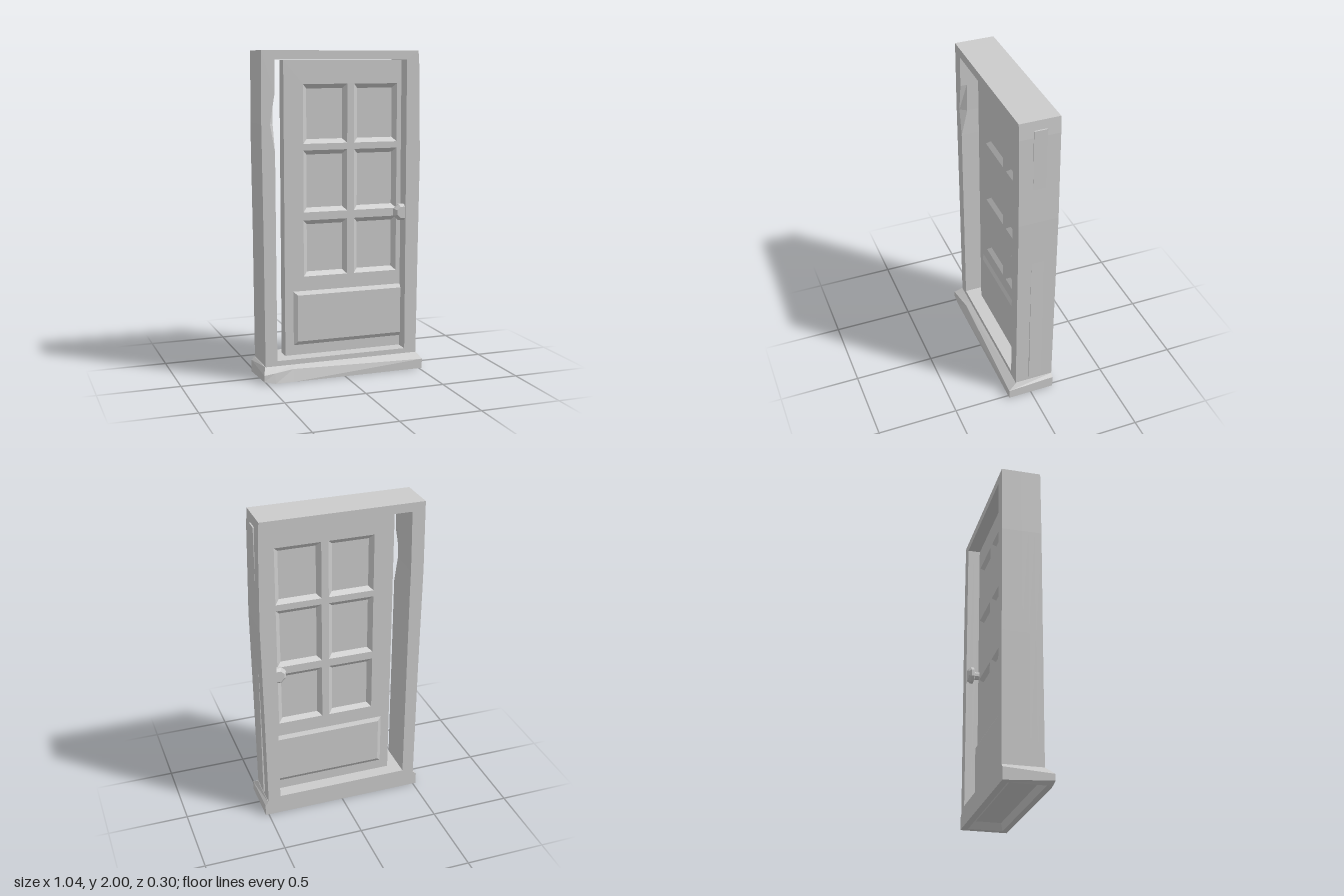
import * as THREE from 'three';

const material = new THREE.MeshStandardMaterial({ color: 0xcccccc, flatShading: true });

function add(parent, name, geometry) {
  const mesh = new THREE.Mesh(geometry, material);
  mesh.name = name;
  parent.add(mesh);
  return mesh;
}

// Joins matching loops of points with flat faces; the last loop is always capped.
function loft(rings, capStart = false) {
  const pos = [];
  const tri = (a, b, c) => pos.push(...a, ...b, ...c);
  const n = rings[0].length;
  for (let r = 0; r < rings.length - 1; r++) {
    const a = rings[r], b = rings[r + 1];
    for (let i = 0; i < n; i++) {
      const j = (i + 1) % n;
      tri(a[i], a[j], b[j]);
      tri(a[i], b[j], b[i]);
    }
  }
  const end = rings[rings.length - 1], start = rings[0];
  for (let i = 1; i < n - 1; i++) {
    tri(end[0], end[i], end[i + 1]);
    if (capStart) tri(start[0], start[i + 1], start[i]);
  }
  const g = new THREE.BufferGeometry();
  g.setAttribute('position', new THREE.Float32BufferAttribute(pos, 3));
  g.computeVertexNormals();
  return g;
}

const path = (points, Type = THREE.Path) => new Type(points.map(p => new THREE.Vector2(...p)));

// Bevelled panel, sunk (negative rise) or raised, facing +z.
function panelGeometry(w, h, bevel, rise) {
  const ring = (x, y, z) => [[-x, -y, z], [x, -y, z], [x, y, z], [-x, y, z]];
  return loft([ring(w / 2, h / 2, 0), ring(w / 2 - bevel, h / 2 - bevel, rise)]);
}

function buildFrame() {
  // Slightly uneven outline
  const outline = path([[-0.497, 0.09], [0.498, 0.09], [0.505, 0.75], [0.513, 1.34],
    [0.503, 1.9], [0.496, 2], [-0.503, 2], [-0.508, 1.57], [-0.501, 0.9]], THREE.Shape);
  outline.holes.push(path([[-0.422, 0.125], [-0.425, 1.4], [-0.427, 1.57], [-0.425, 1.75],
    [-0.422, 1.945], [0.42, 1.945], [0.42, 0.125]]));
  const g = new THREE.ExtrudeGeometry(outline, { depth: 0.245, steps: 6, bevelEnabled: false });
  g.translate(0, 0, -0.15);
  // Chip in the inner front edge of one jamb
  const p = g.attributes.position;
  for (let i = 0; i < p.count; i++) {
    if (p.getZ(i) > 0.09 && Math.abs(p.getX(i) + 0.427) < 0.001 && Math.abs(p.getY(i) - 1.57) < 0.001) {
      p.setX(i, -0.455);
    }
  }
  g.computeVertexNormals();
  return g;
}

function buildSill() {
  const ring = (x, back, front, y) =>
    [[-x, y, back], [-x, y, front], [-x * 0.86, y, front], [-x * 0.64, y, front], [x, y, front], [x, y, back]];
  const bottom = ring(0.52, -0.15, 0.147, 0);
  bottom[1] = [-0.52, 0.018, 0.147]; // chipped lower corner
  const shoulder = [[-0.52, 0.075, -0.15], [-0.52, 0.057, 0.147], [-0.45, 0.063, 0.14],
    [-0.33, 0.075, 0.127], [0.52, 0.06, 0.147], [0.52, 0.075, -0.15]];
  return loft([
    ring(0.44, -0.07, 0.09, 0.04), // hollow underside
    ring(0.48, -0.11, 0.11, 0),
    bottom,
    shoulder,
    ring(0.5, -0.15, 0.093, 0.095),
  ], true);
}

function buildDoor() {
  const door = new THREE.Group();
  door.name = 'door';
  const half = 0.04;
  const rect = (x0, x1, y0, y1) => [[x0, y0], [x1, y0], [x1, y1], [x0, y1]];

  const windows = [];
  for (const [y0, y1] of [[0.62, 0.97], [1.02, 1.4], [1.44, 1.8]]) {
    for (const [x0, x1] of [[-0.222, 0.062], [0.107, 0.391]]) windows.push([x0, x1, y0, y1]);
  }

  // Slab with window openings
  const slab = path(rect(-0.345, 0.509, 0.127, 1.943), THREE.Shape);
  windows.forEach(w => slab.holes.push(path(rect(...w))));
  const slabGeometry = new THREE.ExtrudeGeometry(slab, { depth: half * 2, bevelEnabled: false });
  slabGeometry.translate(0, 0, -half);
  add(door, 'doorSlab', slabGeometry);

  // Both faces carry the same panels and knob
  for (const side of [1, -1]) {
    const label = side > 0 ? 'front' : 'back';
    const place = (name, geometry, x, y) => {
      if (side < 0) geometry.rotateY(Math.PI);
      add(door, name, geometry).position.set(x, y, side * half);
    };
    windows.forEach(([x0, x1, y0, y1], i) =>
      place(`${label}WindowPanel${i + 1}`, panelGeometry(x1 - x0, y1 - y0, 0.027, -0.022),
        (x0 + x1) / 2, (y0 + y1) / 2));
    place(`${label}LowerPanel`, panelGeometry(0.745, 0.34, 0.024, 0.014), 0.0825, 0.36);

    // Faceted knob on a short stem
    const knob = new THREE.LatheGeometry([[0.025, 0], [0.025, 0.03], [0.055, 0.04], [0.055, 0.058],
      [0.038, 0.075], [0, 0.075]].map(p => new THREE.Vector2(...p)), 8);
    knob.rotateY(Math.PI / 8).rotateX(Math.PI / 2);
    place(`${label}Knob`, knob, 0.405, 1);
  }
  door.position.z = -0.03;
  return door;
}

export function createModel() {
  const model = new THREE.Group();
  model.name = 'doorway';
  add(model, 'frame', buildFrame());
  add(model, 'sill', buildSill());
  model.add(buildDoor());
  return model;
}
